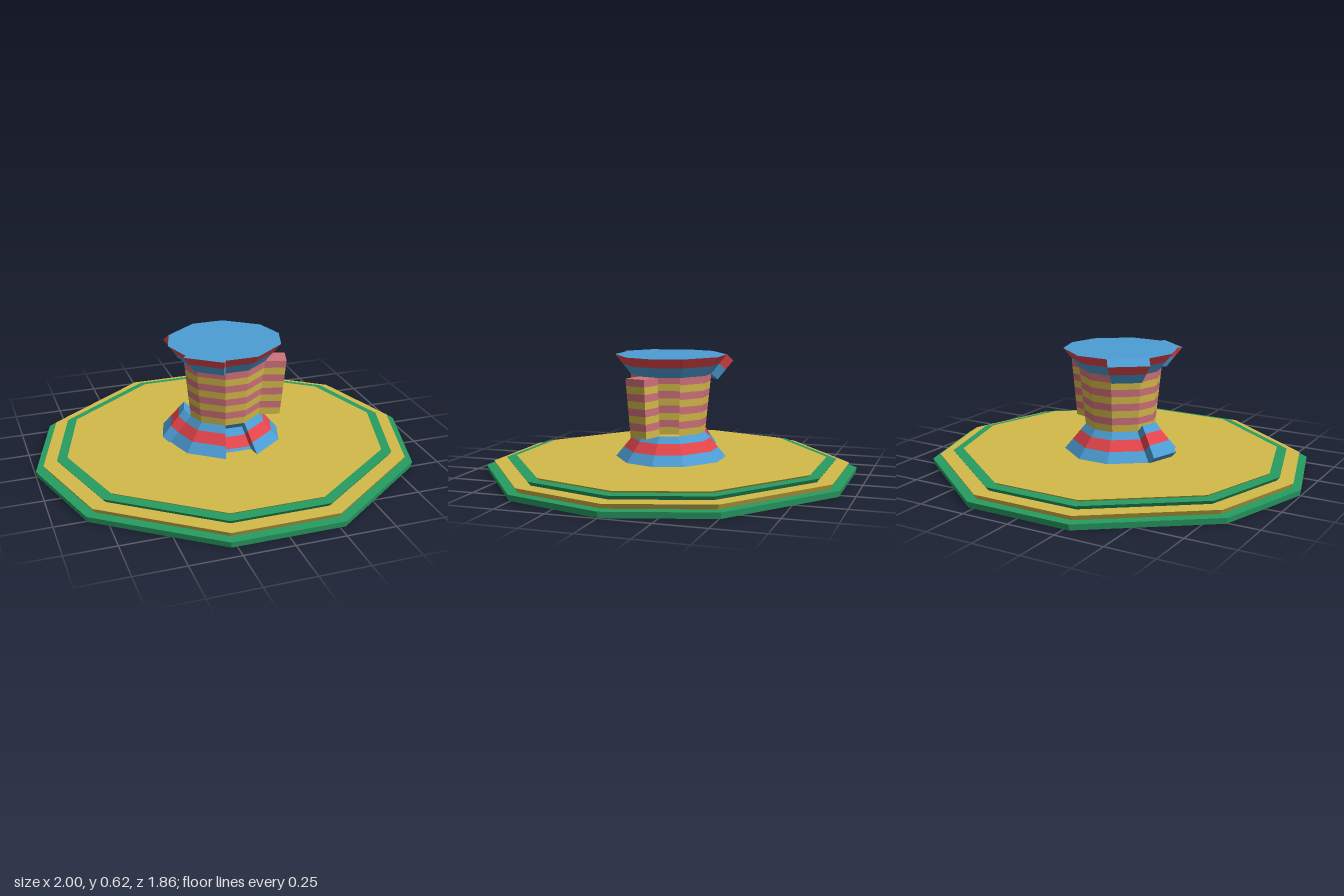
import * as THREE from 'three';

// Outline of the ten-sided plan at radius 1, running from +x towards +z
const OUTLINE = [
  [1, 0], [0.845, 0.51], [0.28, 0.93], [-0.28, 0.93], [-0.845, 0.51],
  [-1, 0], [-0.845, -0.51], [-0.28, -0.93], [0.28, -0.93], [0.845, -0.51],
];
const SIDES = OUTLINE.length;

const material = (name, color) => {
  const m = new THREE.MeshStandardMaterial({ color, side: THREE.DoubleSide });
  m.name = name;
  return m;
};

const corner = (k, r, y) => {
  const [x, z] = OUTLINE[k % SIDES];
  return new THREE.Vector3(x * r, y, z * r);
};

// Collects flat faces per material and turns them into one mesh per colour
class Part {
  constructor(name) {
    this.group = new THREE.Group();
    this.group.name = name;
    this.faces = new Map();
  }
  quad(mat, a, b, c, d) {
    if (!this.faces.has(mat)) this.faces.set(mat, []);
    for (const p of [a, b, c, a, c, d]) this.faces.get(mat).push(p.x, p.y, p.z);
  }
  // Horizontal ten-sided face
  lid(mat, r, y, up) {
    const centre = new THREE.Vector3(0, y, 0);
    for (let k = 0; k < SIDES; k++) {
      const a = corner(k, r, y), b = corner(k + 1, r, y);
      if (up) this.quad(mat, centre, b, a, a);
      else this.quad(mat, centre, a, b, b);
    }
  }
  // Sloping wall of stacked colour bands; pushed faces get their own side walls
  wall(r0, y0, r1, y1, bands, pushes = {}, topMat = bands[bands.length - 1][1]) {
    const radius = y => r0 + (r1 - r0) * (y - y0) / (y1 - y0);
    for (let k = 0; k < SIDES; k++) {
      const push = pushes[k];
      let y = y0;
      bands.forEach(([top, mat], i) => {
        const ring = [
          corner(k, radius(y), y), corner(k, radius(top), top),
          corner(k + 1, radius(top), top), corner(k + 1, radius(y), y),
        ];
        y = top;
        if (!push) return this.quad(mat, ...ring);
        const out = ring.map(p => p.clone().add(push));
        this.quad(mat, ...out);
        this.quad(mat, ring[0], ring[1], out[1], out[0]);
        this.quad(mat, ring[2], ring[3], out[3], out[2]);
        if (i === 0) this.quad(mat, ring[3], ring[0], out[0], out[3]);
        if (i === bands.length - 1) this.quad(topMat, ring[1], ring[2], out[2], out[1]);
      });
    }
  }
  build() {
    for (const [mat, points] of this.faces) {
      const geometry = new THREE.BufferGeometry();
      geometry.setAttribute('position', new THREE.Float32BufferAttribute(points, 3));
      geometry.computeVertexNormals();
      const mesh = new THREE.Mesh(geometry, mat);
      mesh.name = `${this.group.name} ${mat.name}`;
      this.group.add(mesh);
    }
    return this.group;
  }
}

// Push for side k: a distance along its level outward direction, plus a rise
const push = (k, distance, rise = 0) => {
  const a = corner(k, 1, 0), b = corner(k + 1, 1, 0);
  const v = new THREE.Vector3(a.z - b.z, 0, b.x - a.x).normalize().multiplyScalar(-distance);
  v.y = rise;
  return v;
};

export function createModel() {
  const green = material('green', 0x279c62);
  const yellow = material('yellow', 0xd3b949);
  const blue = material('blue', 0x4c9dd3);
  const red = material('red', 0xe3454b);
  const pink = material('pink', 0xcf717a);
  const model = new THREE.Group();
  model.name = 'striped pedestal';

  // Stepped platform, each tier slightly wider at its top
  const platform = new Part('platform');
  const tiers = [
    [0.994, 1.0, 0, 0.03, green], [0.945, 0.96, 0.03, 0.055, yellow],
    [0.875, 0.89, 0.055, 0.075, green], [0.825, 0.837, 0.075, 0.085, yellow],
  ];
  for (const [r0, r1, y0, y1, mat] of tiers) {
    platform.wall(r0, y0, r1, y1, [[y1, mat]]);
    platform.lid(mat, r1, y1, true);
  }
  platform.lid(red, 0.994, 0, false);
  model.add(platform.build());

  // Flared foot with one raised and one sunken side
  const foot = new Part('foot');
  foot.wall(0.3, 0.08, 0.182, 0.22, [[0.135, blue], [0.185, red], [0.22, blue]], {
    5: push(5, 0.036, 0.037),
  });
  model.add(foot.build());
  const footFront = foot.group.children;
  // The sunken front side replaces the flush one
  for (const mesh of footFront.slice()) foot.group.remove(mesh);
  foot.faces.clear();
  foot.wall(0.3, 0.08, 0.182, 0.22, [[0.135, blue], [0.185, red], [0.22, blue]], {
    2: push(2, -0.036, -0.037),
    5: push(5, 0.036, 0.037),
  }, blue);
  foot.build();

  // Striped shaft with one block pulled out and one side recessed
  const shaft = new Part('shaft');
  const stripes = Array.from({ length: 8 }, (_, i) => [0.22 + 0.3 * (i + 1) / 8, i % 2 ? pink : yellow]);
  shaft.wall(0.184, 0.22, 0.215, 0.52, stripes, {
    0: push(0, 0.11),
    9: push(9, -0.06),
  });
  model.add(shaft.build());

  // Flared capital with two displaced sides and a flat top
  const capital = new Part('capital');
  capital.wall(0.215, 0.52, 0.297, 0.62, [[0.572, blue], [0.62, red]], {
    3: push(3, 0.028),
    6: push(6, 0.036, -0.032),
  }, blue);
  capital.lid(blue, 0.297, 0.62, true);
  model.add(capital.build());

  return model;
}
